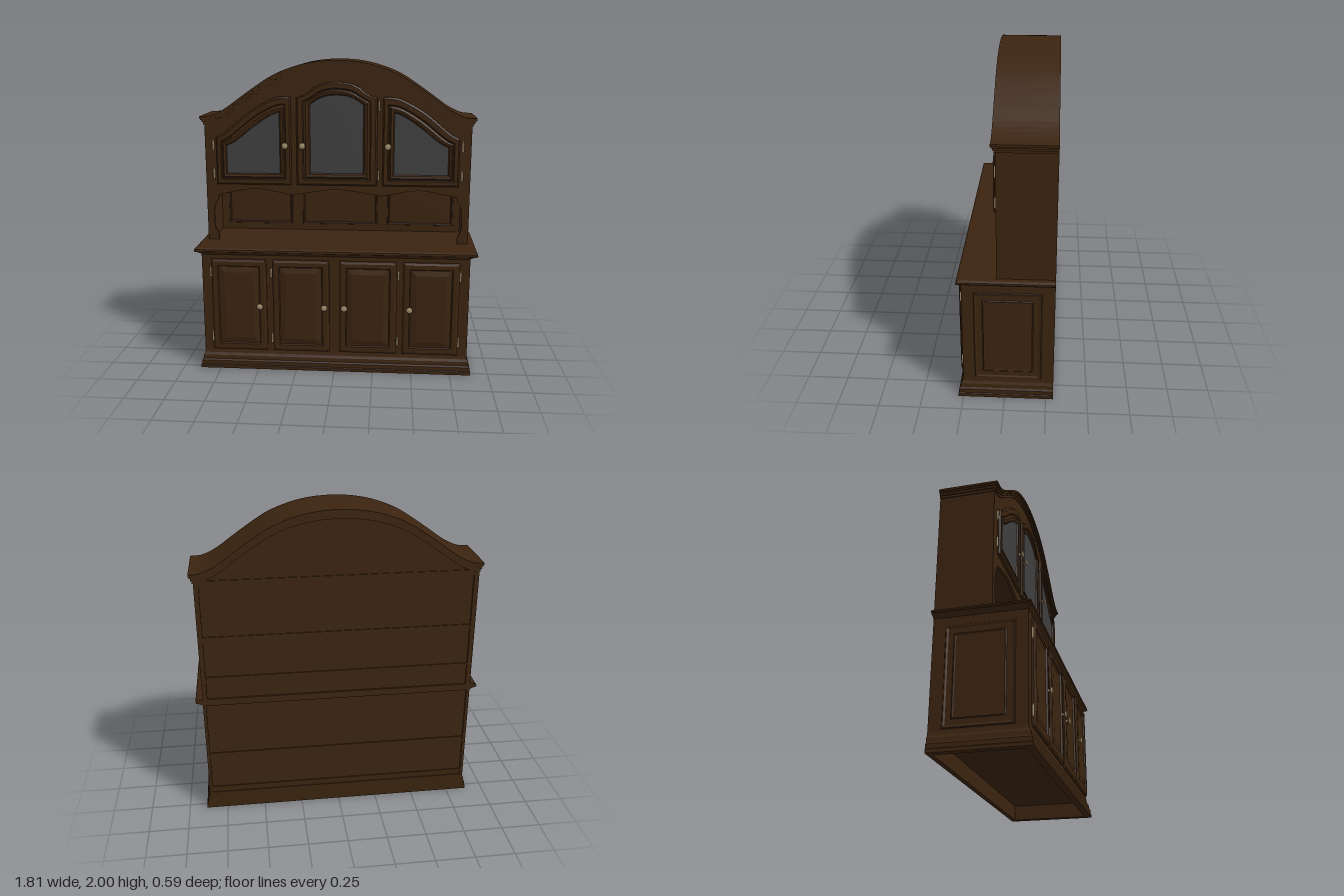
import * as THREE from 'three';

const wood = new THREE.MeshStandardMaterial({ color: 0x3b2410 });
wood.name = 'dark wood';
const glass = new THREE.MeshStandardMaterial({ color: 0x404040 });
glass.name = 'smoked glass';
const brass = new THREE.MeshStandardMaterial({ color: 0xa08c6a });
brass.name = 'aged brass';

const V = (x, y, z) => new THREE.Vector3(x, y, z);
const BACK = -0.295;

function add(parent, name, geo, mat = wood) {
  const m = new THREE.Mesh(geo, mat);
  m.name = name;
  parent.add(m);
  return m;
}

function box(parent, name, x0, x1, y0, y1, z0, z1) {
  const m = add(parent, name, new THREE.BoxGeometry(x1 - x0, y1 - y0, z1 - z0));
  m.position.set((x0 + x1) / 2, (y0 + y1) / 2, (z0 + z1) / 2);
  return m;
}

// Flat-faced skin through matching loops, closed at the last loop's centre
function loft(loops) {
  const last = loops[loops.length - 1];
  const c = last.reduce((s, p) => s.add(p), V(0, 0, 0)).divideScalar(last.length);
  const rings = [...loops, last.map(() => c)];
  const pts = [];
  for (let i = 0; i < rings.length - 1; i++) {
    const a = rings[i], b = rings[i + 1];
    for (let j = 0; j < a.length; j++) {
      const k = (j + 1) % a.length;
      pts.push(a[j], a[k], b[k]);
      if (i < rings.length - 2) pts.push(a[j], b[k], b[j]);
    }
  }
  const g = new THREE.BufferGeometry().setFromPoints(pts);
  g.computeVertexNormals();
  return g;
}

// Rectangular moulding: rows of [y, half width, front z, back z]
const moulding = rows => loft(rows.map(([y, w, f, b = BACK]) =>
  [V(-w, y, f), V(w, y, f), V(w, y, b), V(-w, y, b)]));

// Raised rectangular panel: rows of [inset, z]
const panel = (x0, x1, y0, y1, rows) => loft(rows.map(([d, z]) =>
  [V(x0 + d, y0 + d, z), V(x1 - d, y0 + d, z), V(x1 - d, y1 - d, z), V(x0 + d, y1 - d, z)]));

// Height of the arched top at x
const half = [[0.89, 1.643], [0.82, 1.647], [0.73, 1.687], [0.62, 1.765], [0.52, 1.835], [0.39, 1.915], [0.2, 1.98]];
const archPts = new THREE.CatmullRomCurve3([
  ...half.map(([x, y]) => V(-x, y, 0)), V(0, 2, 0), ...half.slice().reverse().map(([x, y]) => V(x, y, 0)),
]).getPoints(80);
function archY(x) {
  let i = 1;
  while (i < archPts.length - 1 && archPts[i].x < x) i++;
  const a = archPts[i - 1], b = archPts[i];
  return a.y + (b.y - a.y) * (x - a.x) / (b.x - a.x);
}
const archLine = (w, drop, n = 56) => Array.from({ length: n + 1 }, (_, i) => {
  const x = -w + 2 * w * i / n;
  return [x, archY(x) - drop];
});

function slab(parent, name, pts, z0, z1) {
  const s = new THREE.Shape(pts.map(([x, y]) => new THREE.Vector2(x, y)));
  const g = new THREE.ExtrudeGeometry(s, { depth: z1 - z0, bevelEnabled: false });
  g.translate(0, 0, z0);
  return add(parent, name, g);
}

// Smooth resampling of a door's top edge
const smooth = (pts, n = 14) =>
  new THREE.SplineCurve(pts.map(p => new THREE.Vector2(...p))).getPoints(n).map(p => [p.x, p.y]);

// Glazed door between an outer and an inner outline
function glazedDoor(parent, name, outer, inner) {
  const g = new THREE.Group();
  g.name = name;
  const rows = [[0, 0.044], [0, 0.055], [0.12, 0.064], [0.45, 0.064], [0.52, 0.058], [0.6, 0.058], [0.7, 0.064], [0.9, 0.06], [1, 0.05]];
  const at = (t, z) => outer.map(([x, y], i) =>
    V(x + (inner[i][0] - x) * t, y + (inner[i][1] - y) * t, z));
  add(g, 'doorFrame', loft(rows.map(([t, z]) => at(t, z))));
  add(g, 'glassPane', loft([at(1, 0.0525)]), glass);
  parent.add(g);
}

const knobGeo = new THREE.LatheGeometry(
  [[0.012, 0], [0.012, 0.003], [0.006, 0.005], [0.006, 0.014], [0.018, 0.018], [0.021, 0.023], [0.015, 0.028], [0, 0.03]]
    .map(p => new THREE.Vector2(...p)), 16);
knobGeo.rotateX(Math.PI / 2);
const hingeGeo = new THREE.LatheGeometry(
  [[0, -0.04], [0.004, -0.037], [0.003, -0.031], [0.007, -0.028], [0.007, 0.028], [0.003, 0.031], [0.004, 0.037], [0, 0.04]]
    .map(p => new THREE.Vector2(...p)), 10);

function knob(parent, x, y, z) { add(parent, 'knob', knobGeo, brass).position.set(x, y, z); }
function hinge(parent, x, y, z) { add(parent, 'hinge', hingeGeo, brass).position.set(x, y, z); }

export function createModel() {
  const root = new THREE.Group();
  root.name = 'hutchCabinet';
  const lower = new THREE.Group(), upper = new THREE.Group();
  lower.name = 'lowerCabinet';
  upper.name = 'upperCabinet';
  root.add(lower, upper);

  // Plinth with a hollow underside
  add(lower, 'plinth', moulding([
    [0.1, 0.84, 0.235, -0.265], [0, 0.84, 0.235, -0.265], [0, 0.885, 0.28], [0.02, 0.885, 0.28], [0.025, 0.88, 0.275],
    [0.05, 0.88, 0.275], [0.06, 0.872, 0.266], [0.085, 0.87, 0.264], [0.1, 0.862, 0.254], [0.12, 0.86, 0.25],
  ]));
  add(lower, 'plinthCeiling', new THREE.PlaneGeometry(1.7, 0.52).rotateX(Math.PI / 2)).position.set(0, 0.099, -0.015);

  // Lower carcass and worktop
  box(lower, 'lowerBody', -0.85, 0.85, 0.11, 0.79, -0.283, 0.25);
  add(lower, 'worktop', moulding([
    [0.775, 0.855, 0.25], [0.785, 0.87, 0.258], [0.792, 0.885, 0.264], [0.796, 0.9, 0.272],
    [0.803, 0.905, 0.275], [0.812, 0.903, 0.274], [0.82, 0.89, 0.262],
  ]));

  // Lower doors
  const doorRows = [[0, 0.249], [0, 0.262], [0.014, 0.271], [0.042, 0.271], [0.048, 0.26], [0.054, 0.26], [0.085, 0.269]];
  for (const s of [-1, 1]) {
    for (const [a, b] of [[0.44, 0.797], [0.033, 0.4]]) {
      add(lower, 'lowerDoor', panel(Math.min(a * s, b * s), Math.max(a * s, b * s), 0.13, 0.748, doorRows));
    }
    knob(lower, s * 0.482, 0.44, 0.269);
    knob(lower, s * 0.064, 0.44, 0.269);
    for (const y of [0.215, 0.66]) {
      hinge(lower, s * 0.802, y, 0.259);
      hinge(lower, s * 0.409, y, 0.259);
    }

    // Side boards with a raised panel below
    box(lower, 'lowerSide', s * 0.85 - 0.01, s * 0.85 + 0.01, 0.1, 0.79, BACK, 0.25);
    box(upper, 'upperSide', s * 0.845 - 0.015, s * 0.845 + 0.015, 0.815, 1.61, BACK, 0.045);
    const sidePanel = add(lower, 'sidePanel', panel(-0.2, 0.2, 0.13, 0.725,
      [[0, 0], [0.004, 0.006], [0.01, 0.006], [0.018, 0.001], [0.05, 0.001], [0.056, 0.006], [0.064, 0.003]]));
    sidePanel.rotation.y = s * Math.PI / 2;
    sidePanel.position.set(s * 0.8595, 0, -0.02);
  }

  // Solid top of the hutch and the back boards
  slab(upper, 'upperBody', [[-0.845, 1.185], ...archLine(0.845, 0.04), [0.845, 1.185]], -0.283, 0.032);
  box(upper, 'nicheBack', -0.84, 0.84, 0.815, 1.19, -0.283, -0.262);
  for (const y of [0.14, 0.4, 0.8, 0.95, 1.22, 1.58]) {
    box(root, 'backRail', -0.84, 0.84, y - 0.02, y + 0.02, -0.289, -0.28);
  }

  // Front frame with a scalloped niche opening
  const side = smooth([[0.79, 0.82], [0.79, 0.86], [0.812, 0.91], [0.815, 0.98], [0.81, 1.05], [0.785, 1.1], [0.77, 1.13]], 18);
  const swag = (a, b) => smooth([[a, 1.13], [a + (b - a) * 0.15, 1.145], [(a + b) / 2, 1.17], [b - (b - a) * 0.15, 1.145], [b, 1.13]], 12);
  slab(upper, 'frontFrame', [
    [-0.86, 0.82], ...archLine(0.86, 0.04), [0.86, 0.82], ...side,
    ...swag(0.765, 0.3), ...swag(0.29, -0.29), ...swag(-0.3, -0.765),
    ...side.map(([x, y]) => [-x, y]).reverse(),
  ], 0.028, 0.045);

  // Panels at the back of the niche
  for (const [a, b] of [[-0.78, -0.33], [-0.26, 0.26], [0.33, 0.78]]) {
    add(upper, 'nichePanel', panel(a, b, 0.862, 1.13,
      [[0, -0.263], [0.003, -0.254], [0.01, -0.254], [0.016, -0.259], [0.03, -0.257]]));
  }

  // Stepped crown following the arch
  for (const [w, d0, d1, zf] of [[0.887, 0, 0.014, 0.07], [0.881, 0.014, 0.024, 0.066], [0.874, 0.024, 0.038, 0.059], [0.866, 0.038, 0.054, 0.052]]) {
    slab(upper, 'crownMoulding', [...archLine(w, d0), ...archLine(w, d1).reverse()], BACK, zf);
  }

  // Glazed doors: arched centre and a mirrored pair
  const centreOuter = [[-0.26, 1.2], [0.26, 1.2],
    ...smooth([[0.26, 1.765], [0.2, 1.785], [0.12, 1.845], [0, 1.865], [-0.12, 1.845], [-0.2, 1.785], [-0.26, 1.765]])];
  const centreInner = [[-0.17, 1.28], [0.17, 1.28],
    ...smooth([[0.17, 1.72], [0.13, 1.75], [0.07, 1.775], [0, 1.782], [-0.07, 1.775], [-0.13, 1.75], [-0.17, 1.72]])];
  glazedDoor(upper, 'centreDoor', centreOuter, centreInner);

  const outer = [[-0.785, 1.2], [-0.295, 1.2],
    ...smooth([[-0.295, 1.77], [-0.36, 1.77], [-0.43, 1.75], [-0.57, 1.67], [-0.72, 1.545], [-0.785, 1.51]])];
  const inner = [[-0.715, 1.275], [-0.37, 1.275],
    ...smooth([[-0.37, 1.672], [-0.4, 1.662], [-0.45, 1.637], [-0.54, 1.575], [-0.66, 1.48], [-0.715, 1.455]])];
  const mirror = o => o.map(([x, y]) => [-x, y]).reverse();
  glazedDoor(upper, 'rightDoor', outer, inner);
  glazedDoor(upper, 'leftDoor', mirror(outer), mirror(inner));

  // Upper fittings
  for (const x of [-0.332, -0.22, 0.329]) knob(upper, x, 1.46, 0.063);
  for (const s of [-1, 1]) for (const y of [1.27, 1.455]) hinge(upper, s * 0.805, y, 0.052);
  for (const y of [1.27, 1.715]) hinge(upper, 0.27, y, 0.06);

  return root;
}
